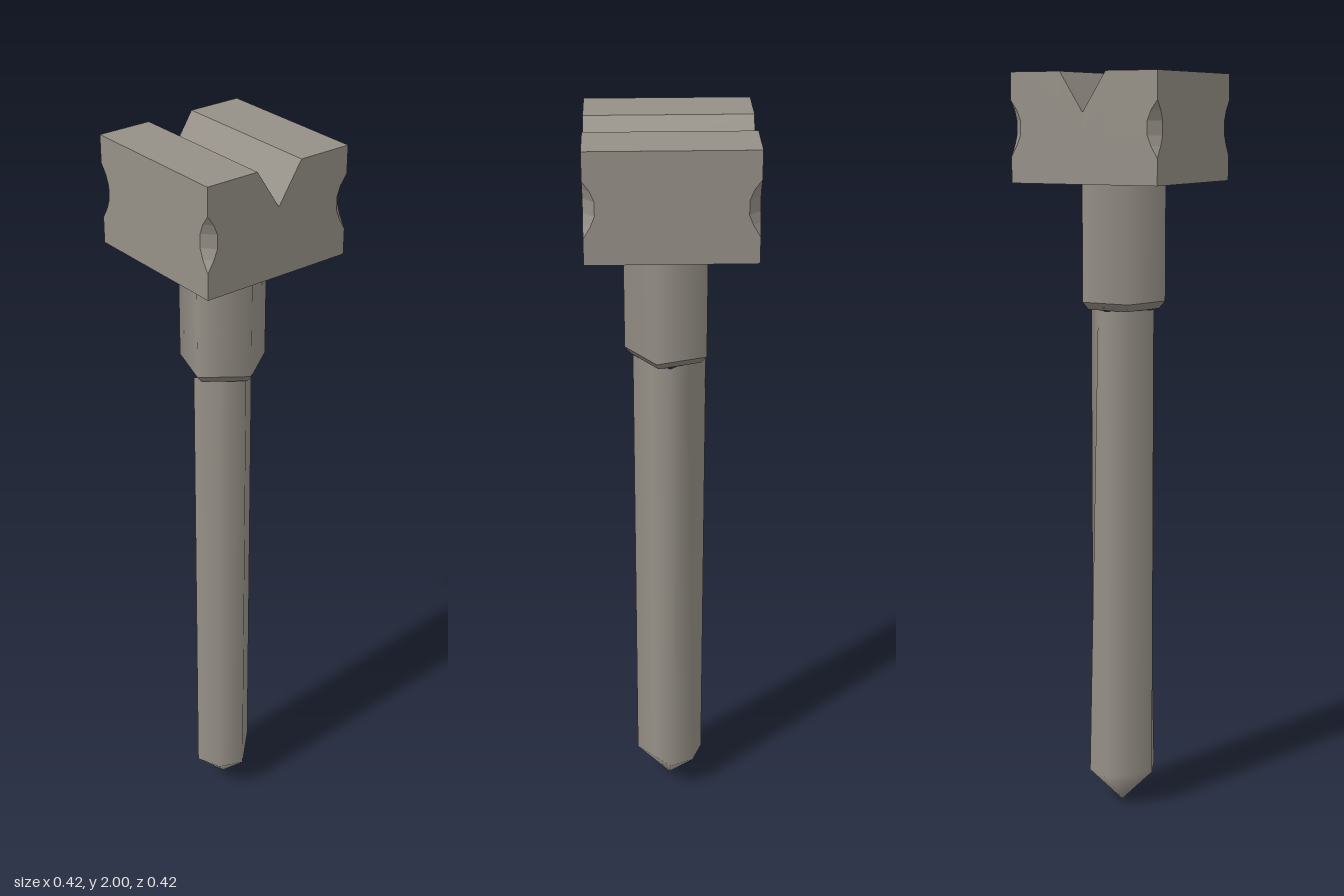
import * as THREE from 'three';

const color = 0x969087;
const material = new THREE.MeshStandardMaterial({ color });
const flatMaterial = new THREE.MeshStandardMaterial({ color, flatShading: true });

function addMesh(group, name, geometry, y = 0, mat = material) {
  const mesh = new THREE.Mesh(geometry, mat);
  mesh.name = name;
  mesh.position.y = y;
  group.add(mesh);
}

// Square block with a V groove along x and a dent in each upright edge,
// built from cross-sections stacked along z.
function headGeometry() {
  const a = 0.208, bottom = 1.724, height = 2 - bottom;
  const grooveHalf = 0.065, grooveDepth = 0.1;
  // [height, dent depth] up one side
  const side = [[bottom, 0], [1.79, 0], [1.82, 0.018], [1.845, 0.028],
    [1.88, 0.028], [1.905, 0.018], [1.93, 0], [2, 0]];
  const half = [a, a - 0.018, a - 0.028, grooveHalf];
  const stations = [...half.map((z) => -z), 0, ...half.slice().reverse()];
  const n = side.length, ring = 2 * n;
  const positions = [], index = [];

  for (const z of stations) {
    const top = height - grooveDepth * Math.max(0, 1 - Math.abs(z) / grooveHalf);
    const point = (s, [y, dent]) => positions.push(
      s * (a - Math.max(0, dent - (a - Math.abs(z)))),
      bottom + (y - bottom) * top / height, z);
    side.forEach((p) => point(1, p)); // right column going up
    side.slice().reverse().forEach((p) => point(-1, p)); // left column going down
  }
  const quad = (p, q, r, s) => index.push(p, q, r, p, r, s);
  for (let k = 0; k < stations.length - 1; k++) {
    for (let i = 0; i < ring; i++) {
      const j = (i + 1) % ring, p = k * ring, q = p + ring;
      // choose the diagonal that follows the rim of the dent
      const flip = (k >= half.length) === (i % n < n / 2);
      if (flip) quad(p + j, q + j, q + i, p + i);
      else quad(p + i, p + j, q + j, q + i);
    }
  }
  // front and back faces
  const last = (stations.length - 1) * ring;
  for (let i = 0; i < n - 1; i++) {
    const l = ring - 1 - i;
    quad(last + l, last + i, last + i + 1, last + l - 1);
    quad(i, l, l - 1, i + 1);
  }
  const geometry = new THREE.BufferGeometry();
  geometry.setAttribute('position', new THREE.Float32BufferAttribute(positions, 3));
  geometry.setIndex(index);
  geometry.computeVertexNormals();
  return geometry;
}

// Pulls diagonal corners of an eight-sided solid onto the chord of their neighbours.
function squash(geometry, flattenTop) {
  const p = geometry.attributes.position;
  for (let i = 0; i < p.count; i++) {
    const x = p.getX(i), z = p.getZ(i);
    if (Math.abs(x * z) < 1e-6) continue;
    if (x * z < 0 || (flattenTop && p.getY(i) > 0)) {
      p.setX(i, x * Math.SQRT1_2);
      p.setZ(i, z * Math.SQRT1_2);
    }
  }
  return geometry;
}

// Soft shading for an underside: the lower rim faces down, the upper rim outward
// and down by the given slope.
function shadeUnderside(geometry, slope) {
  const p = geometry.attributes.position, normals = geometry.attributes.normal;
  const v = new THREE.Vector3();
  for (let i = 0; i < p.count; i++) {
    if (p.getY(i) > 0) {
      v.set(p.getX(i), 0, p.getZ(i)).normalize().setY(-slope).normalize();
    } else {
      v.set(0, -1, 0);
    }
    normals.setXYZ(i, v.x, v.y, v.z);
  }
  return geometry;
}

export function createModel() {
  const group = new THREE.Group();
  group.name = 'groovedPin';

  addMesh(group, 'head', headGeometry(), 0, flatMaterial);

  // five-sided collar with a bevelled lower rim
  const start = Math.PI / 2;
  addMesh(group, 'collar',
    new THREE.CylinderGeometry(0.115, 0.115, 0.31, 5, 1, true, start), 1.57);
  const bevel = new THREE.CylinderGeometry(0.115, 0.098, 0.02, 5, 1, true, start);
  addMesh(group, 'collarBevel', shadeUnderside(bevel, 1.5), 1.405);
  const underside = new THREE.CircleGeometry(0.098, 5).rotateX(Math.PI / 2);
  addMesh(group, 'collarUnderside', underside, 1.395);

  // shaft: four-sided at the top, six-sided at the foot, ending in a point
  addMesh(group, 'shaft',
    squash(new THREE.CylinderGeometry(0.094, 0.094, 1.295, 8, 1, true), true), 0.7475);
  const tip = squash(new THREE.CylinderGeometry(0.094, 0.0005, 0.1, 8, 1, true), false);
  addMesh(group, 'tip', shadeUnderside(tip, 0), 0.05);

  return group;
}
